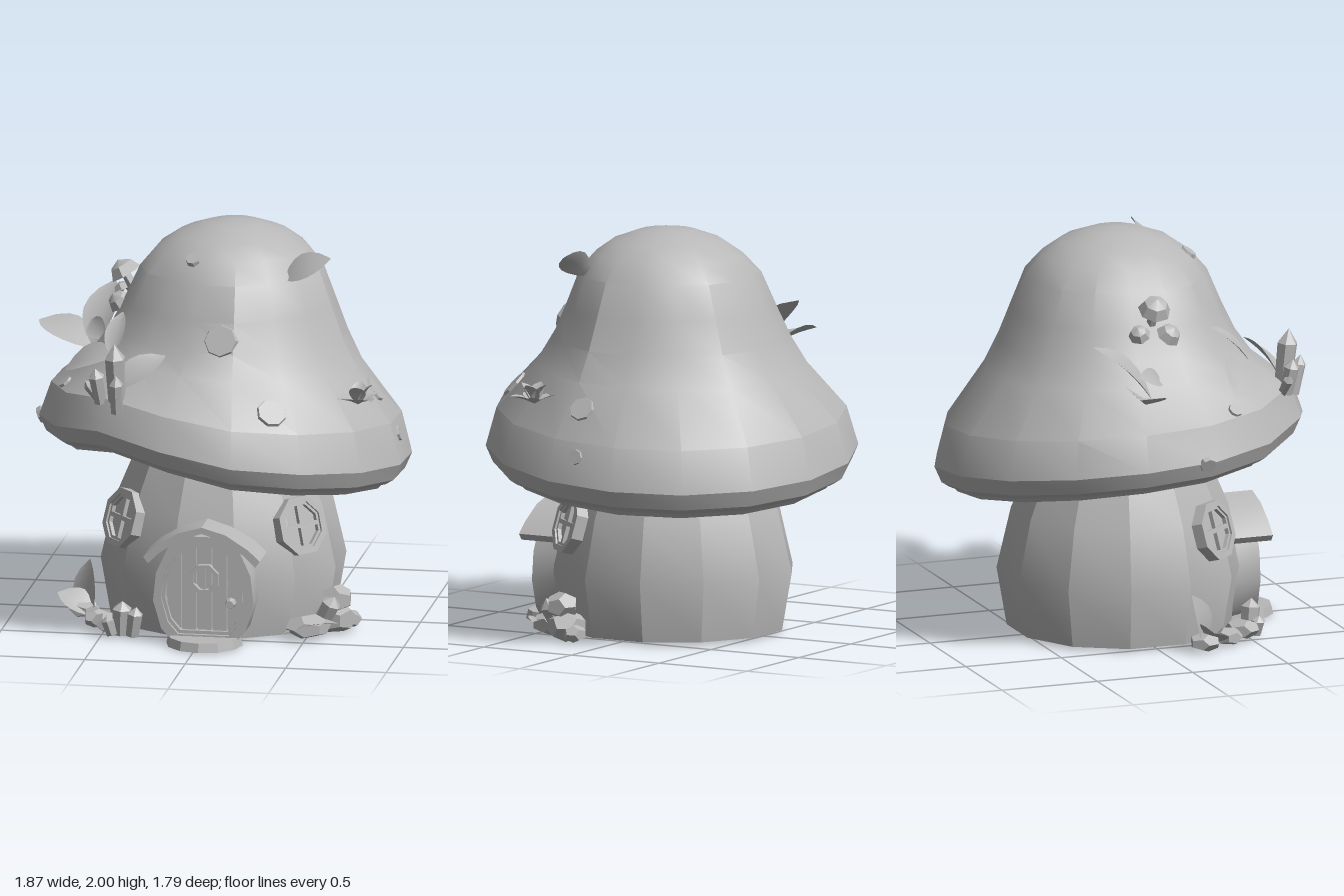
import * as THREE from 'three';
import { toCreasedNormals } from 'three/addons/utils/BufferGeometryUtils.js';

const V = (x, y, z) => new THREE.Vector3(x, y, z);
const UP = V(0, 1, 0);
const grey = new THREE.MeshStandardMaterial({ color: 0xb8b8b8, side: THREE.DoubleSide });
grey.name = 'clay grey';

function add(parent, name, geo, pos = V(0, 0, 0), crease = 0.45) {
  const m = new THREE.Mesh(toCreasedNormals(geo, crease), grey);
  m.name = name;
  m.position.copy(pos);
  parent.add(m);
  return m;
}

function group(parent, name, pos = V(0, 0, 0)) {
  const g = new THREE.Group();
  g.name = name;
  g.position.copy(pos);
  parent.add(g);
  return g;
}

// Skin over rings of points; angle 0 faces the front
function skin(rows, sides, offset, point) {
  const pos = [], idx = [];
  rows.forEach((row, i) => {
    for (let j = 0; j < sides; j++) {
      pos.push(...point(row, ((j + offset) / sides) * Math.PI * 2));
      if (i === rows.length - 1) continue;
      const k = (j + 1) % sides, a = i * sides + j, b = i * sides + k, c = a + sides, d = b + sides;
      if (rows[i + 1][0] > 0) idx.push(a, c, d);
      else idx.push(a, c, b);
      if (row[0] > 0 && rows[i + 1][0] > 0) idx.push(a, d, b);
    }
  });
  const g = new THREE.BufferGeometry();
  g.setAttribute('position', new THREE.Float32BufferAttribute(pos, 3));
  g.setIndex(idx);
  return g;
}

// Cap rows: radius, height, how much the tilt of the rim moves it
const capRows = [[0, 2, 0], [0.14, 1.982, 0], [0.27, 1.935, 0], [0.37, 1.865, 0], [0.45, 1.77, 0],
  [0.52, 1.6, 0], [0.585, 1.45, 0.1], [0.66, 1.32, 0.3], [0.86, 1.1, 0.8],
  [0.915, 0.91, 1], [0.88, 0.83, 1], [0.84, 0.805, 1], [0.85, 0.84, 1], [0.8, 0.78, 1],
  [0.5, 0.78, 0.8], [0, 0.8, 0]];

function capPoint([r, y, w], t) {
  const d = Math.atan2(Math.sin(t + 0.52), Math.cos(t + 0.52));
  const lift = -0.09 * Math.sin(t) + 0.065 * Math.cos(t) + 0.08 * Math.exp(-d * d * 6);
  const fold = y > 1.25 && y < 1.8 ? 1 + 0.02 * Math.sin(5 * t + 1) : 1;
  return [0.03 + 0.045 * Math.max(0, y - 1) + r * fold * Math.sin(t), y + w * lift, r * fold * Math.cos(t)];
}

// Leaf blade from base to tip, arched and folded along its midrib
function leaf(parent, base, tip, width, facing = UP) {
  const dir = tip.clone().sub(base), len = dir.length();
  const geo = new THREE.PlaneGeometry(1, 1, 2, 6);
  const p = geo.attributes.position;
  for (let i = 0; i < p.count; i++) {
    const s = p.getY(i) + 0.5, u = p.getX(i) * 2;
    const half = width * 0.5 * Math.pow(Math.max(0, Math.sin(Math.PI * s)), 0.8) + 0.004;
    p.setXYZ(i, u * half, s * len, Math.abs(u) * half * 0.3 + 0.06 * len * Math.sin(Math.PI * s));
  }
  const y = dir.normalize(), x = y.clone().cross(facing).normalize();
  const m = add(parent, 'leaf', geo, base, 0.8);
  m.quaternion.setFromRotationMatrix(new THREE.Matrix4().makeBasis(x, y, x.clone().cross(y)));
}

function crystal(parent, base, r, h, lean) {
  const pts = [[0, 0], [r * 0.85, 0], [r, h * 0.76], [0, h]].map(a => new THREE.Vector2(...a));
  const m = add(parent, 'crystal', new THREE.LatheGeometry(pts, 6), base);
  m.quaternion.setFromUnitVectors(UP, lean.clone().normalize());
}

function rock(parent, pos, sx, sy, sz, turn) {
  const m = add(parent, 'rock', new THREE.DodecahedronGeometry(1, 0), pos);
  m.scale.set(sx, sy, sz);
  m.rotation.y = turn;
}

const polygon = (pts, Kind = THREE.Shape) => new Kind(pts.map(a => new THREE.Vector2(...a)));
const extrude = (shape, depth) => new THREE.ExtrudeGeometry(shape, { depth, bevelEnabled: false });
const octagon = r => Array.from({ length: 8 }, (_, i) => {
  const a = (i + 0.5) * Math.PI / 4;
  return [r * Math.cos(a), r * Math.sin(a)];
});
function ring(r, inner, depth) {
  const s = polygon(octagon(r));
  s.holes.push(polygon(octagon(inner), THREE.Path));
  return extrude(s, depth);
}

function buildDoor(root) {
  const door = group(root, 'door', V(0.03, 0, 0));
  // Arched frame
  const half = [[0.15, 0.01], [0.21, 0.08], [0.25, 0.22], [0.235, 0.36], [0.18, 0.48], [0.09, 0.55]];
  const outline = k => [...half, ...half.map(([x, y]) => [-x, y]).reverse()]
    .map(([x, y]) => [x * k, 0.28 + (y - 0.28) * k]);
  const frame = polygon(outline(1));
  frame.holes.push(polygon(outline(0.84), THREE.Path));
  add(door, 'door frame', extrude(frame, 0.18), V(0, 0, 0.47));
  const trim = polygon(outline(0.86));
  trim.holes.push(polygon(outline(0.78), THREE.Path));
  add(door, 'door trim', extrude(trim, 0.13), V(0, 0, 0.5));
  add(door, 'door backing', extrude(polygon(outline(0.82)), 0.08), V(0, 0, 0.5));
  // Planks cut to the arch
  const reach = x => 0.24 * Math.sqrt(Math.max(0, 1 - (x / 0.24) ** 2));
  for (let i = -2; i <= 2; i++) {
    const a = i * 0.076 - 0.034, b = a + 0.068;
    const pts = [[a, 0.28 - reach(a)], [b, 0.28 - reach(b)], [b, 0.27 + reach(b)], [a, 0.27 + reach(a)]];
    add(door, 'door plank', extrude(polygon(pts), 0.03 + 0.006 * (i & 1)), V(0, 0, 0.575));
  }
  // Porthole, knob, step and hood
  add(door, 'door porthole', ring(0.078, 0.056, 0.035), V(0, 0.33, 0.6));
  add(door, 'porthole bar', new THREE.BoxGeometry(0.014, 0.12, 0.02), V(0, 0.33, 0.615));
  add(door, 'door knob', new THREE.CylinderGeometry(0.02, 0.028, 0.04, 8).rotateX(Math.PI / 2), V(0.13, 0.21, 0.625));
  add(door, 'door step', new THREE.CylinderGeometry(0.18, 0.19, 0.045, 12), V(0, 0.0225, 0.61));
  const top = [[-0.29, 0.45], [-0.23, 0.505], [-0.12, 0.575], [0, 0.61], [0.12, 0.575], [0.23, 0.505], [0.29, 0.45]];
  const under = top.map(([x, y]) => [x * 0.92, y - 0.032]).reverse();
  add(door, 'door hood', extrude(polygon([...top, ...under]), 0.2), V(0, 0, 0.5));
}

function buildWindow(root, side) {
  const w = group(root, 'window', V(side * 0.435 + 0.018, 0.545, 0.33));
  w.rotation.set(-0.27, side * 0.88, 0, 'YXZ');
  add(w, 'window frame', ring(0.152, 0.12, 0.06), V(0, 0, -0.03));
  add(w, 'inner window frame', ring(0.122, 0.106, 0.04), V(0, 0, -0.02));
  add(w, 'window pane', extrude(polygon(octagon(0.12)), 0.03), V(0, 0, -0.03));
  add(w, 'upright bar', new THREE.BoxGeometry(0.022, 0.22, 0.025), V(0, 0, 0.008));
  add(w, 'cross bar', new THREE.BoxGeometry(0.22, 0.022, 0.025), V(0, 0, 0.008));
}

function smallMushroom(parent, base, h, r, lean) {
  const g = group(parent, 'small mushroom', base);
  g.quaternion.setFromUnitVectors(UP, lean.clone().normalize());
  add(g, 'small stem', new THREE.CylinderGeometry(r * 0.25, r * 0.35, h, 6), V(0, h / 2, 0));
  const pts = [[0, 0], [r, -0.01], [r * 0.7, r * 0.5], [0, r * 0.85]].map(a => new THREE.Vector2(...a));
  add(g, 'small cap', new THREE.LatheGeometry(pts, 7), V(0, h, 0));
}

export function createModel() {
  const root = new THREE.Group();
  root.name = 'mushroom house';

  // Stem
  const stemRows = [[0, 0.95], [0.39, 0.95], [0.45, 0.8], [0.535, 0.6], [0.605, 0.3], [0.555, 0.01], [0, 0.01]];
  add(root, 'stem', skin(stemRows, 12, 0.5, ([r, y], t) => [0.02 + r * Math.sin(t), y, r * Math.cos(t)]));

  // Cap
  const cap = add(root, 'cap', skin(capRows, 16, 0.5, capPoint), V(0, 0, 0), 0.48);
  cap.updateMatrixWorld();

  // Spots, set flush on the cap by a ray toward its axis
  const ray = new THREE.Raycaster();
  [[0.1, 1.52, 0.55, 0.088], [0.38, 1.2, 0.7, 0.08], [-0.06, 1.87, 0.3, 0.045], [0.8, 1.18, 0.07, 0.068],
    [0.92, 0.96, 0.04, 0.042], [-0.84, 1.0, 0.13, 0.045], [-0.75, 1.22, 0.35, 0.04]].forEach(([x, y, z, r]) => {
    const dir = V(x - 0.05, 0, z).normalize();
    ray.set(V(0.05, y, 0).addScaledVector(dir, 2), dir.clone().negate());
    const hit = ray.intersectObject(cap)[0];
    if (!hit) return;
    const spot = add(root, 'cap spot', new THREE.CylinderGeometry(r * 0.88, r, 0.025, 8), hit.point);
    spot.quaternion.setFromUnitVectors(UP, hit.face.normal);
  });

  buildDoor(root);
  [-1, 1].forEach(s => buildWindow(root, s));

  // Leaves on the cap
  const leaves = group(root, 'cap leaves');
  leaf(leaves, V(0.37, 1.77, 0.27), V(0.6, 1.89, 0.28), 0.14, V(-0.3, 0.8, 0.8));
  leaf(leaves, V(-0.66, 1.28, -0.12), V(-0.94, 1.38, -0.25), 0.21, V(0.2, 1, 0.4));
  leaf(leaves, V(-0.64, 1.3, -0.08), V(-0.58, 1.57, -0.36), 0.18, V(-0.3, 0.6, 0.6));
  leaf(leaves, V(-0.57, 1.36, 0.0), V(-0.66, 1.42, -0.15), 0.1, V(-0.7, 0.7, 0.3));
  leaf(leaves, V(-0.42, 1.28, 0.68), V(-0.17, 1.44, 0.58), 0.14, V(0, 0.8, 0.6));
  leaf(leaves, V(-0.43, 1.4, 0.46), V(-0.71, 1.29, 0.34), 0.19, V(-0.3, 0.9, 0.4));
  leaf(leaves, V(-0.45, 1.4, 0.5), V(-0.43, 1.58, 0.3), 0.1, V(-0.3, 0.6, 0.7));

  // Crystals on the cap
  const gems = group(root, 'cap crystals');
  crystal(gems, V(-0.39, 1.22, 0.7), 0.052, 0.31, V(-0.03, 1, 0.1));
  crystal(gems, V(-0.47, 1.22, 0.69), 0.04, 0.18, V(-0.15, 1, 0.15));
  crystal(gems, V(-0.38, 1.19, 0.76), 0.036, 0.2, V(0, 1, 0.2));
  crystal(gems, V(-0.48, 1.22, 0.66), 0.026, 0.13, V(-0.7, 1, 0.2));

  // Small mushrooms on the cap
  smallMushroom(root, V(-0.42, 1.62, 0.0), 0.1, 0.082, V(-0.6, 1, 0));
  smallMushroom(root, V(-0.45, 1.53, 0.05), 0.06, 0.065, V(-0.7, 0.9, 0.4));
  smallMushroom(root, V(-0.45, 1.53, -0.06), 0.08, 0.055, V(-0.6, 0.9, -0.4));

  // Rosette flower on the cap
  const flower = group(root, 'flower');
  const heart = V(0.75, 1.18, 0.36);
  for (let i = 0; i < 8; i++) {
    const a = i * Math.PI / 4, far = i % 2 ? 0.125 : 0.07;
    const tip = heart.clone().add(V(far * Math.sin(a), i % 2 ? 0.04 : 0.1, far * Math.cos(a)));
    leaf(flower, heart, tip, 0.075, V(-Math.sin(a) * 0.4, 1, -Math.cos(a) * 0.4));
  }

  // Rocks and crystals beside the house
  const ground = group(root, 'ground decorations');
  rock(ground, V(0.62, 0.07, 0.25), 0.11, 0.08, 0.1, 0.4);
  rock(ground, V(0.63, 0.17, 0.27), 0.08, 0.07, 0.085, 1.1);
  rock(ground, V(0.51, 0.055, 0.4), 0.12, 0.06, 0.1, 0.8);
  rock(ground, V(0.68, 0.045, 0.17), 0.06, 0.045, 0.06, 0.2);
  crystal(ground, V(0.56, 0.05, 0.33), 0.05, 0.17, V(0.5, 1, 0.2));
  leaf(ground, V(0.4, 0.03, 0.47), V(0.66, 0.08, 0.42), 0.12);
  rock(ground, V(-0.47, 0.05, 0.46), 0.09, 0.05, 0.08, 0.5);
  rock(ground, V(-0.55, 0.04, 0.36), 0.07, 0.045, 0.07, 1.2);
  crystal(ground, V(-0.4, 0.01, 0.52), 0.05, 0.17, V(0.05, 1, 0.1));
  crystal(ground, V(-0.34, 0.01, 0.55), 0.04, 0.15, V(0.15, 1, 0.1));
  crystal(ground, V(-0.44, 0.01, 0.54), 0.035, 0.1, V(-0.3, 1, 0.1));
  leaf(ground, V(-0.6, 0.01, 0.2), V(-0.62, 0.28, 0.14), 0.17, V(-0.7, 0.2, 0.7));
  leaf(ground, V(-0.57, 0.02, 0.24), V(-0.77, 0.12, 0.2), 0.15, V(0, 1, 0.5));
  rock(ground, V(-0.64, 0.045, 0.2), 0.08, 0.045, 0.08, 0.3);
  return root;
}
